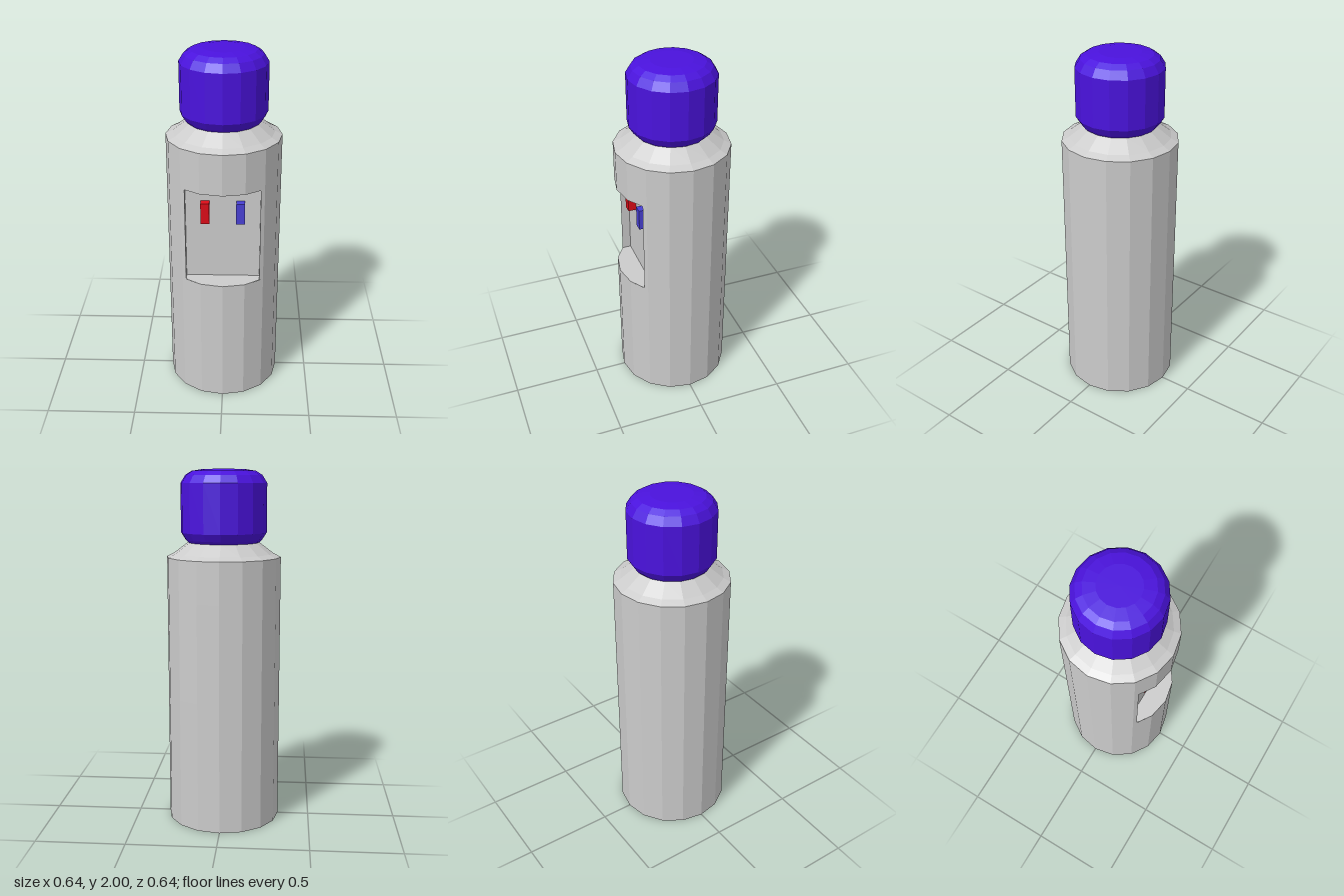
import * as THREE from 'three';

const SIDES = 16, R = 0.32;
const LOW = 0.74, HIGH = 1.29;            // recess bottom and top
const HALF = 0.205, LIP = 0.24, BACK = 0.19; // recess half width, front edge z, back z

const material = (color) => new THREE.MeshStandardMaterial({ color, flatShading: true });

// Point k of the sixteen-sided outline as [x, z], starting at the front
const corner = (k) => {
  const a = (k / SIDES) * Math.PI * 2;
  return [R * Math.sin(a), R * Math.cos(a)];
};

const lathe = (profile) =>
  new THREE.LatheGeometry(profile.map(([r, y]) => new THREE.Vector2(r, y)), SIDES);

// Vertical wall following a closed outline of [x, z] points
function wall(outline, y0, y1) {
  const pos = [];
  outline.forEach(([ax, az], i) => {
    const [bx, bz] = outline[(i + 1) % outline.length];
    pos.push(ax, y0, az, bx, y0, bz, bx, y1, bz);
    pos.push(ax, y0, az, bx, y1, bz, ax, y1, az);
  });
  const g = new THREE.BufferGeometry();
  g.setAttribute('position', new THREE.Float32BufferAttribute(pos, 3));
  g.computeVertexNormals();
  return g;
}

// Horizontal face of the recess, looking up (1) or down (-1)
function shelf(outline, y, dir) {
  const shape = new THREE.Shape(outline.map(([x, z]) => new THREE.Vector2(x, -dir * z)));
  return new THREE.ShapeGeometry(shape).rotateX(-dir * Math.PI / 2).translate(0, y, 0);
}

export function createModel() {
  const model = new THREE.Group();
  const grey = material(0xcccccc);
  const add = (name, geometry, mat, parent = model) => {
    const mesh = new THREE.Mesh(geometry, mat);
    mesh.name = name;
    parent.add(mesh);
    return mesh;
  };

  // Cabinet: lower drum, notched middle, upper drum with sloped shoulder
  const cabinet = new THREE.Group();
  cabinet.name = 'cabinet';
  model.add(cabinet);
  add('lowerBody', lathe([[0, 0], [R, 0], [R, LOW]]), grey, cabinet);
  add('upperBody', lathe([[R, HIGH], [R, 1.52], [0.28, 1.54], [0.2, 1.6]]), grey, cabinet);

  const middle = [];
  for (let k = 2; k <= SIDES - 2; k++) middle.push(corner(k));
  middle.push([-HALF, LIP], [-HALF, BACK], [HALF, BACK], [HALF, LIP]);
  add('middleBody', wall(middle, LOW, HIGH), grey, cabinet);

  // Floor and ceiling of the recess
  const notch = [[-HALF, BACK], [-HALF, LIP], corner(-1), corner(0), corner(1), [HALF, LIP], [HALF, BACK]];
  add('recessFloor', shelf(notch, LOW, 1), grey, cabinet);
  add('recessCeiling', shelf(notch, HIGH, -1), grey, cabinet);

  // Hot and cold taps
  for (const [name, x, color] of [['hotTap', -0.097, 0xdd0c18], ['coldTap', 0.097, 0x4840d4]]) {
    add(name, new THREE.BoxGeometry(0.048, 0.12, 0.045), material(color)).position.set(x, 1.145, 0.2125);
  }

  // Water bottle
  add('waterBottle', lathe([
    [0.2, 1.6], [0.215, 1.615], [0.24, 1.655], [0.24, 1.925],
    [0.213, 1.968], [0.178, 1.99], [0.113, 2], [0, 2],
  ]), material(0x4a12dd));

  return model;
}
